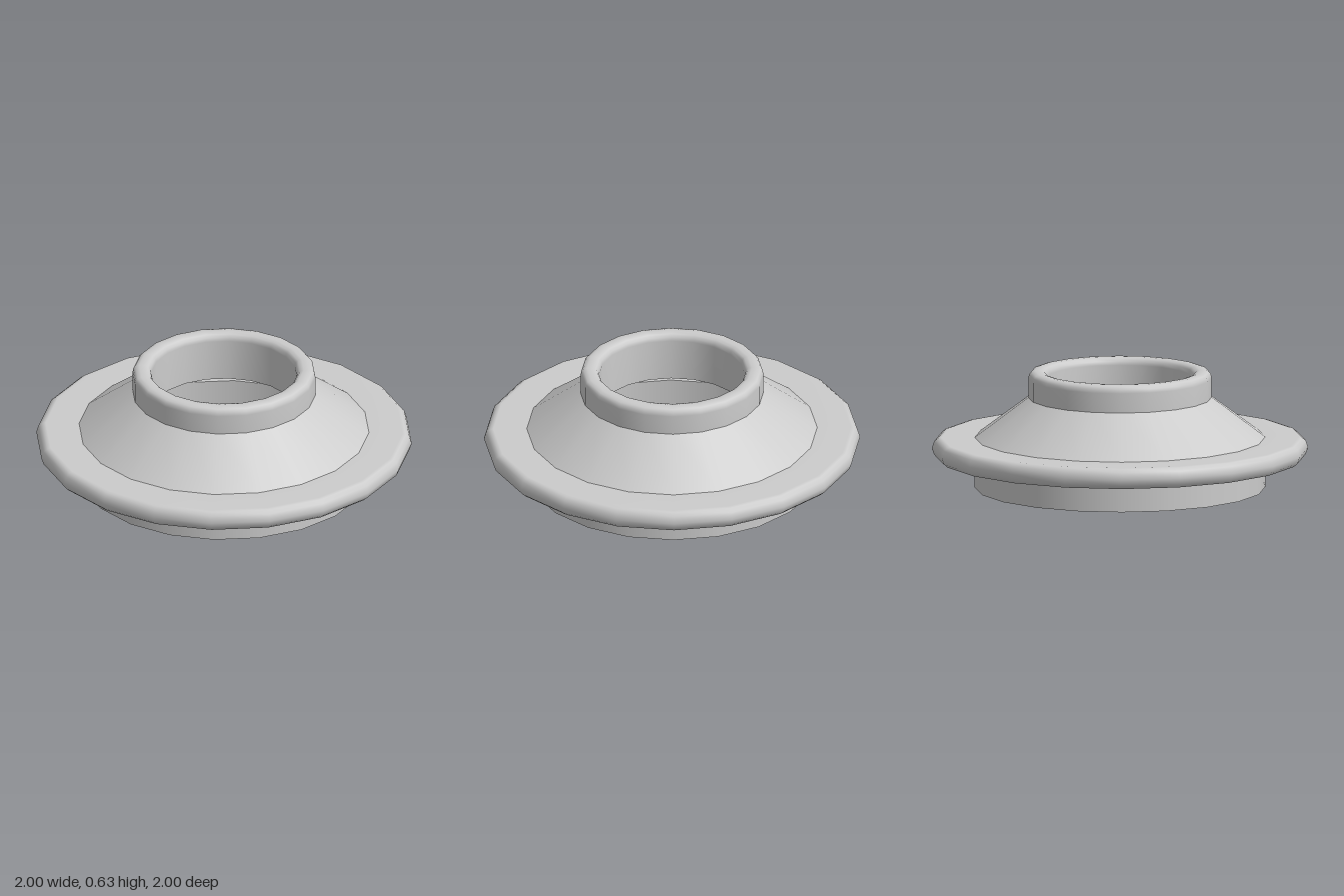
import * as THREE from 'three';

const SIDES = 20;

export function createModel() {
  const group = new THREE.Group();
  const material = new THREE.MeshStandardMaterial({ color: 0xcccccc, side: THREE.DoubleSide });

  // Each part is a thin revolved shell; separate parts keep their shared seams sharp.
  const addRing = (name, profile) => {
    const points = profile.map(([r, y]) => new THREE.Vector2(r, y));
    const mesh = new THREE.Mesh(new THREE.LatheGeometry(points, SIDES), material);
    mesh.name = name;
    group.add(mesh);
  };

  // Open skirt at the bottom
  addRing('skirt', [[0.772, 0], [0.772, 0.157]]);

  // Wide flange with a rounded rim, hollow towards the middle
  addRing('flange', [
    [0.772, 0.157], [0.95, 0.157], [0.968, 0.16], [0.988, 0.178], [1, 0.213],
    [0.988, 0.25], [0.968, 0.266], [0.95, 0.27], [0.772, 0.27],
  ]);

  // Sloping shoulder
  addRing('shoulder', [[0.772, 0.27], [0.487, 0.485]]);

  // Collar with a rounded lip, its bore hanging down inside the shoulder
  addRing('collar', [
    [0.487, 0.485], [0.487, 0.59], [0.483, 0.61], [0.472, 0.624], [0.452, 0.63],
    [0.425, 0.63], [0.405, 0.624], [0.394, 0.61], [0.388, 0.59], [0.388, 0.367],
  ]);

  return group;
}
